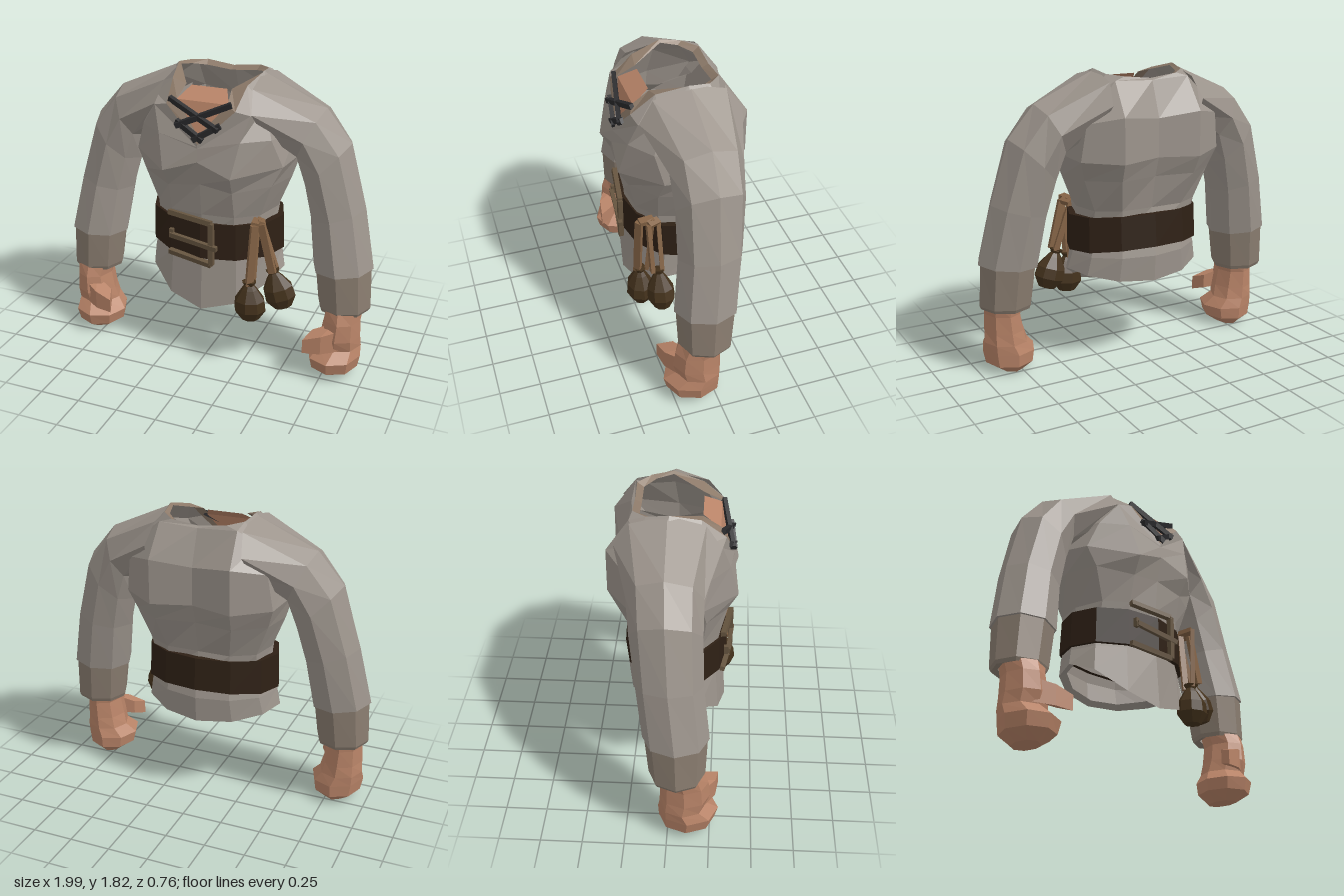
import * as THREE from 'three';

const V = (x, y, z) => new THREE.Vector3(x, y, z);
const mat = (color, side = THREE.FrontSide) =>
  new THREE.MeshStandardMaterial({ color, flatShading: true, side });
const M = {
  shirt: mat(0x9c948c, THREE.DoubleSide), cuff: mat(0x8a7d70, THREE.DoubleSide),
  collar: mat(0x8d7a69, THREE.DoubleSide), skin: mat(0xb98468, THREE.DoubleSide),
  belt: mat(0x2e2015, THREE.DoubleSide), buckle: mat(0x65543f), lace: mat(0x2a2a2c),
  strap: mat(0x846345), pouch: mat(0x44321c), inside: mat(0x5f4030, THREE.DoubleSide),
};

function add(parent, name, geometry, material) {
  const mesh = new THREE.Mesh(geometry, material);
  mesh.name = name;
  parent.add(mesh);
  return mesh;
}

// Skin a list of equal-length closed rings; capped lofts are closed at both ends
function loft(rings, capped = false) {
  const p = [], n = rings[0].length;
  const tri = (...vs) => vs.forEach(v => p.push(v.x, v.y, v.z));
  for (let i = 0; i + 1 < rings.length; i++) {
    for (let j = 0; j < n; j++) {
      const k = (j + 1) % n, a = rings[i], b = rings[i + 1];
      tri(a[j], a[k], b[k]);
      tri(a[j], b[k], b[j]);
    }
  }
  const cap = (r, flip) => {
    const c = r.reduce((s, v) => s.add(v), V(0, 0, 0)).divideScalar(n);
    r.forEach((v, j) => (flip ? tri(c, r[(j + 1) % n], v) : tri(c, v, r[(j + 1) % n])));
  };
  if (capped) {
    cap(rings[0], true);
    cap(rings[rings.length - 1], false);
  }
  const g = new THREE.BufferGeometry();
  g.setAttribute('position', new THREE.Float32BufferAttribute(p, 3));
  g.computeVertexNormals();
  return g;
}

// Twelve-sided oval from front z to back z, with front, side and back heights
function oval(w, zFront, zBack, yFront, ySide, yBack) {
  return Array.from({ length: 12 }, (_, k) => {
    const a = k * Math.PI / 6, c = Math.cos(a);
    const yEnd = k < 3 || k > 9 ? yFront : yBack;
    return V(Math.sin(a) * w, ySide + (yEnd - ySide) * c * c,
      (zFront + zBack) / 2 + c * (zFront - zBack) / 2);
  });
}

// Full ring from the seven points of its left half, front to back
function mirrored(half) {
  const l = half.map(q => V(...q));
  return [...l, ...l.slice(1, 6).reverse().map(v => V(-v.x, v.y, v.z))];
}

// Eight-sided limb ring between an outer and inner edge point, running
// upside-down from the torso rings because limbs are lofted downwards
function limbRing(s, [ox, oy, ix, iy, zf, zb]) {
  return Array.from({ length: 8 }, (_, k) => {
    const a = s * k * Math.PI / 4, c = Math.cos(a) / 2, d = Math.sin(a) / 2;
    return V(s * ((ox + ix) / 2 + (ox - ix) * c), (oy + iy) / 2 + (oy - iy) * c,
      (zf + zb) / 2 + (zf - zb) * d * s);
  });
}

// Flat bar running between two points
function bar(parent, name, a, b, w, t, material) {
  const d = V(...b).sub(V(...a));
  const m = add(parent, name, new THREE.BoxGeometry(w, d.length(), t), material);
  m.position.set(...a).addScaledVector(d, 0.5);
  m.quaternion.setFromUnitVectors(V(0, 1, 0), d.normalize());
}

function buildShirt(g) {
  const waist = [[0, 1, .3], [.2, 1, .28], [.33, 1, .18], [.38, 1, 0], [.34, 1, -.17], [.2, 1, -.25], [0, 1, -.25]];
  const ribs = [[0, 1.2, .32], [.2, 1.17, .32], [.4, 1.2, .2], [.46, 1.2, 0], [.42, 1.2, -.2], [.24, 1.2, -.33], [0, 1.2, -.29]];
  const bust = [[0, 1.35, .36], [.21, 1.28, .38], [.46, 1.32, .18], [.5, 1.34, 0], [.46, 1.32, -.24], [.25, 1.31, -.38], [0, 1.32, -.33]];
  const chest = [[0, 1.43, .35], [.25, 1.49, .33], [.4, 1.49, .22], [.48, 1.49, 0], [.43, 1.54, -.26], [.25, 1.58, -.38], [0, 1.55, -.33]];
  const shoulder = [[0, 1.44, .35], [.295, 1.64, .28], [.34, 1.67, .16], [.4, 1.68, -.02], [.35, 1.69, -.18], [.24, 1.77, -.245], [0, 1.76, -.25]];
  const neckOuter = mirrored([[0, 1.455, .35], [.21, 1.66, .3], [.23, 1.775, .16], [.27, 1.82, -.02], [.25, 1.8, -.15], [.17, 1.79, -.23], [0, 1.77, -.23]]);
  const neckInner = mirrored([[0, 1.5, .335], [.155, 1.69, .275], [.14, 1.75, .17], [.255, 1.805, -.02], [.23, 1.785, -.12], [.16, 1.765, -.19], [0, 1.75, -.19]]);

  add(g, 'shirtBody', loft([
    oval(.38, .29, -.26, .41, .64, .58),
    oval(.435, .32, -.29, .37, .61, .55),
    oval(.41, .3, -.3, .71, .71, .71), oval(.38, .29, -.27, .85, .85, .85),
    ...[waist, ribs, bust, chest, shoulder].map(mirrored), neckOuter,
  ]), M.shirt);
  add(g, 'collar', loft([neckOuter, neckInner]), M.collar);

  // Chest skin behind the laces: a steep lower triangle and a sloped upper panel
  const skin = [[0, 1.49, .325], [.16, 1.685, .268], [.11, 1.745, .165],
    [-.11, 1.745, .165], [-.16, 1.685, .268]].map(q => V(...q));
  const patch = new THREE.BufferGeometry().setFromPoints(
    [0, 1, 4, 1, 2, 3, 1, 3, 4].map(i => skin[i]));
  patch.computeVertexNormals();
  add(g, 'chestSkin', patch, M.skin);

  // Lining disc at belt height, visible down the neck
  const disc = add(g, 'lining', new THREE.CircleGeometry(1, 12).scale(.37, .26, 1).rotateX(-Math.PI / 2), M.inside);
  disc.position.y = .82;

  // Crossed laces
  [[[-.2, 1.69, .28], [.12, 1.55, .34]], [[.18, 1.69, .28], [-.14, 1.55, .34]],
    [[-.14, 1.575, .325], [.03, 1.48, .35]], [[.13, 1.575, .325], [-.03, 1.48, .35]]]
    .forEach(([a, b]) => bar(g, 'lace', a, b, .032, .025, M.lace));
}

function buildArm(s, name) {
  const arm = new THREE.Group();
  arm.name = name;
  const order = r => (s > 0 ? r : r.reverse());
  const limb = rows => rows.map(r => order(limbRing(s, r)).reverse());
  // Rows: outer x, y, inner x, y, front z, back z
  add(arm, 'sleeve', loft(limb([
    [.26, 1.815, .335, 1.47, .275, -.33], [.65, 1.64, .5, 1.33, .19, -.24],
    [.81, 1.45, .54, 1.17, .19, -.22], [.92, 1.07, .585, .98, .2, -.185],
    [.997, .71, .628, .68, .24, -.145], [.96, .7, .67, .68, .21, -.11],
  ])), M.shirt);
  add(arm, 'cuff', loft(limb([
    [.985, .71, .64, .69, .23, -.135], [.995, .45, .67, .45, .22, -.11],
    [.985, .43, .68, .425, .21, -.1], [.95, .44, .72, .44, .18, -.06],
  ])), M.cuff);
  add(arm, 'fist', loft(limb([
    [.96, .47, .71, .47, .21, -.05], [.95, .38, .73, .38, .24, -.04],
    [.955, .27, .71, .27, .25, -.045], [.96, .2, .69, .195, .23, -.05],
    [.965, .14, .635, .13, .3, -.06], [.95, .06, .65, .06, .28, -.055],
    [.87, .01, .73, .005, .2, .0],
  ]), true), M.skin);
  // Thumb folded across the front of the fist
  const corners = [[-1, -1], [-1, 1], [1, 1], [1, -1]];
  const thumb = [[.9, .3, .14, .07], [.78, .275, .22, .06], [.665, .25, .25, .045]]
    .map(([x, y, z, r]) => order(corners
      .map(([u, v]) => V(s * (x - u * r * .4), y + v * r - u * r * .35, z + u * r))));
  add(arm, 'thumb', loft(thumb, true), M.skin);
  return arm;
}

function buildBelt(g) {
  add(g, 'belt', loft([
    oval(.38, .28, -.26, .72, .73, .77), oval(.425, .325, -.31, .72, .73, .77),
    oval(.42, .32, -.295, .95, .95, .97), oval(.38, .28, -.26, .95, .95, .97),
  ]), M.belt);

  // Open-sided frame with a long pin
  const buckle = new THREE.Group();
  buckle.name = 'buckle';
  const corners = [[-.21, .725, .3], [.08, .7, .345], [.08, .97, .345], [-.21, .985, .3]];
  [0, 1, 2].forEach(i => bar(buckle, 'buckleFrame', corners[i], corners[i + 1], .03, .03, M.buckle));
  bar(buckle, 'bucklePin', [-.19, .85, .33], [.12, .815, .355], .03, .025, M.buckle);
  bar(buckle, 'buckleHinge', [-.185, .83, .32], [-.185, .885, .32], .025, .025, M.buckle);
  g.add(buckle);
}

function buildPouches(g) {
  const profile = [[0, -.13], [.055, -.12], [.1, -.055], [.095, .01], [.05, .08], [.03, .105], [.045, .13], [0, .135]]
    .map(q => new THREE.Vector2(...q));
  [{ at: [.31, .48, .295], tilt: .04, top: [.335, .985, .3], end: [.31, .59, .31], back: [.32, .98, .21] },
    { at: [.46, .55, .21], tilt: .3, top: [.36, .975, .25], end: [.435, .67, .25], back: [.33, .97, .18] }]
    .forEach(({ at, tilt, top, end, back }) => {
      const pouch = add(g, 'pouch', new THREE.LatheGeometry(profile, 8), M.pouch);
      pouch.position.set(...at);
      pouch.scale.z = .85;
      pouch.rotation.z = tilt;
      // Strap loops over the belt
      bar(g, 'pouchStrap', top, end, .045, .025, M.strap);
      bar(g, 'pouchStrap', back, top, .045, .03, M.strap);
      bar(g, 'pouchStrap', back, [end[0], end[1], end[2] - .06], .035, .025, M.strap);
    });
}

export function createModel() {
  const model = new THREE.Group();
  model.name = 'tunicTorso';
  buildShirt(model);
  model.add(buildArm(1, 'leftArm'), buildArm(-1, 'rightArm'));
  buildBelt(model);
  buildPouches(model);
  return model;
}
